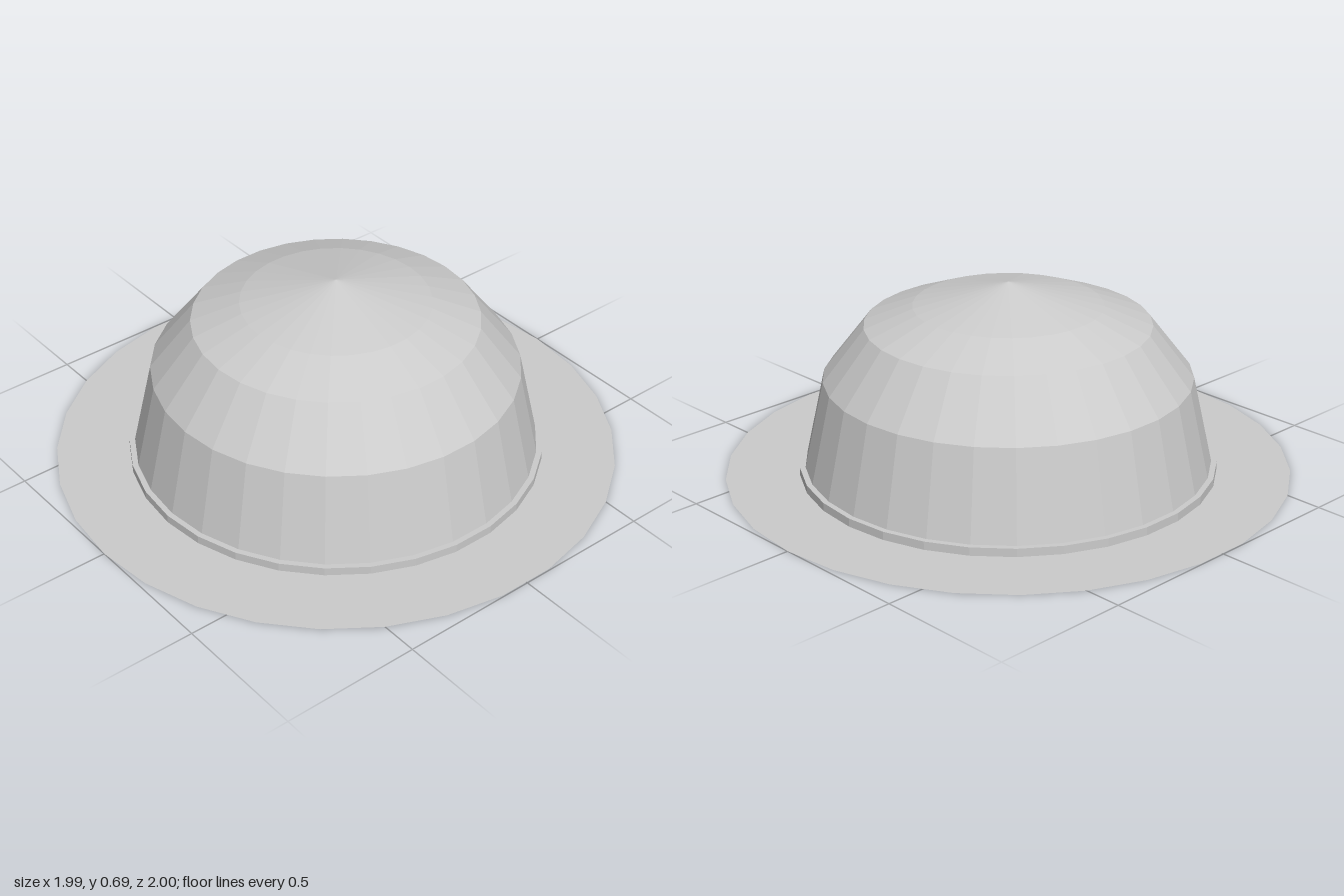
import * as THREE from 'three';

const SIDES = 30;

const material = new THREE.MeshStandardMaterial({
  color: 0xcccccc,
  flatShading: true,
  side: THREE.DoubleSide,
});

// Revolves a profile of [radius, height] pairs, listed from the outside in
function revolve(name, profile) {
  const points = profile.map(([r, y]) => new THREE.Vector2(r, y));
  const mesh = new THREE.Mesh(new THREE.LatheGeometry(points, SIDES), material);
  mesh.name = name;
  return mesh;
}

export function createModel() {
  const hat = new THREE.Group();
  hat.name = 'hat';

  // Flat, paper-thin brim
  hat.add(revolve('brim', [[1, 0], [0.74, 0]]));

  // Low band with a small ledge at the foot of the crown
  hat.add(revolve('band', [[0.74, 0], [0.74, 0.03], [0.72, 0.03]]));

  // Hollow faceted crown rising to a shallow cone
  hat.add(revolve('crown', [[0.72, 0.03], [0.65, 0.345], [0.503, 0.535], [0.333, 0.602], [0, 0.685]]));

  return hat;
}
